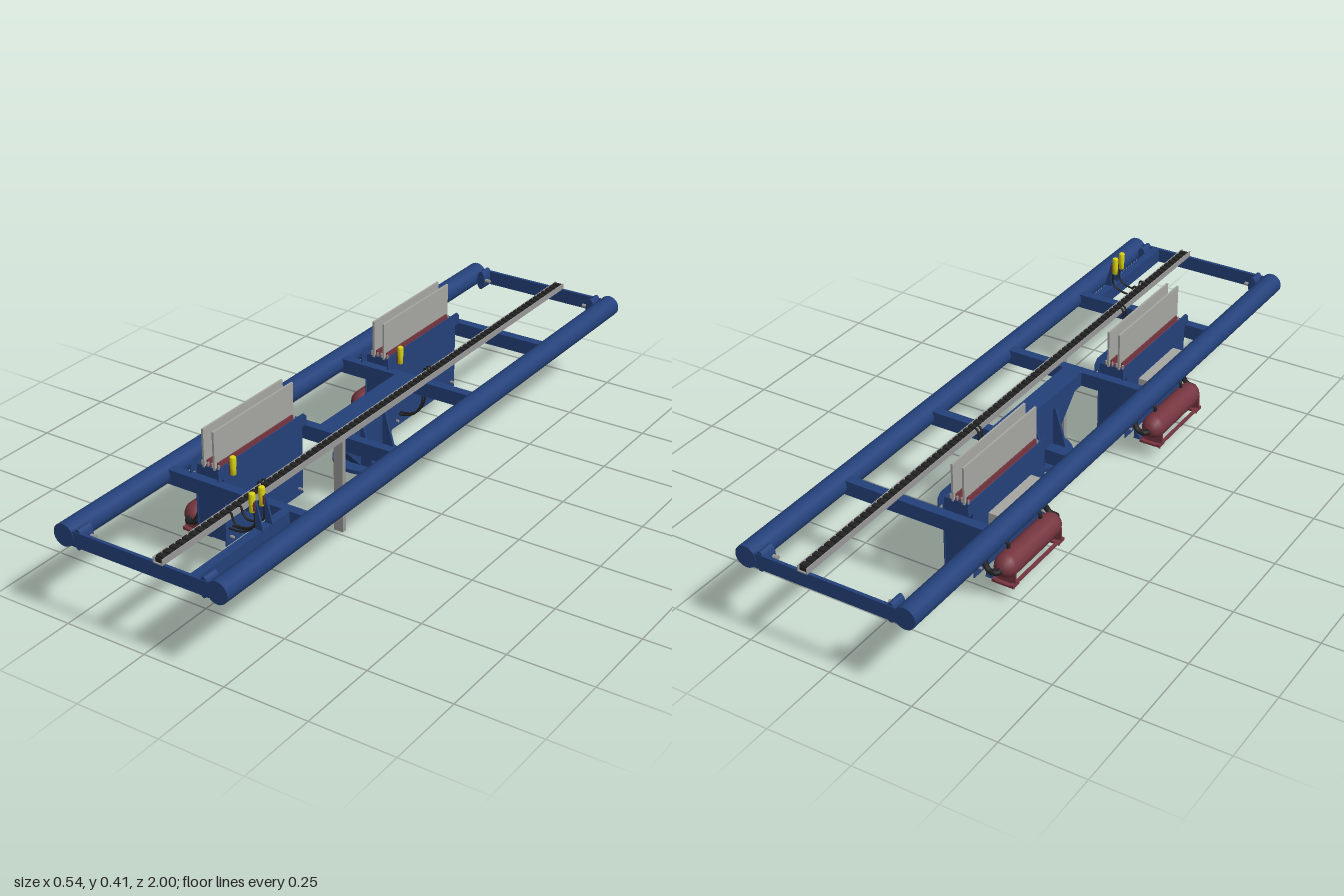
import * as THREE from 'three';

const mat = (name, color, double) => {
  const m = new THREE.MeshStandardMaterial({ color });
  m.name = name;
  if (double) m.side = THREE.DoubleSide;
  return m;
};

export function createModel() {
  const blue = mat('frame blue', 0x24417a);
  const red = mat('tank red', 0x75353f);
  const grey = mat('panel grey', 0xa6a6a2);
  const steel = mat('steel grey', 0x989898);
  const black = mat('rubber black', 0x222222);
  const yellow = mat('lamp yellow', 0xdcd410);
  const model = new THREE.Group();

  const add = (parent, name, geo, m, x = 0, y = 0, z = 0) => {
    const mesh = new THREE.Mesh(geo, m);
    mesh.name = name;
    mesh.position.set(x, y, z);
    parent.add(mesh);
    return mesh;
  };
  // box given by its minimum and maximum corners
  const box = (p, name, m, x0, x1, y0, y1, z0, z1) =>
    add(p, name, new THREE.BoxGeometry(x1 - x0, y1 - y0, z1 - z0), m, (x0 + x1) / 2, (y0 + y1) / 2, (z0 + z1) / 2);
  // cylinder along a chosen axis
  const rod = (p, name, m, r, len, axis, x, y, z, seg = 16) => {
    const g = new THREE.CylinderGeometry(r, r, len, seg);
    if (axis === 'z') g.rotateX(Math.PI / 2);
    if (axis === 'x') g.rotateZ(Math.PI / 2);
    return add(p, name, g, m, x, y, z);
  };
  const hose = (p, name, r, pts) => add(p, name, new THREE.TubeGeometry(
    new THREE.CatmullRomCurve3(pts.map(a => new THREE.Vector3(...a)), false, 'centripetal'), 28, r, 8), black);
  const extrude = (pts, depth) => {
    const g = new THREE.ExtrudeGeometry(new THREE.Shape(pts.map(a => new THREE.Vector2(...a))),
      { depth, bevelEnabled: false });
    return g.translate(0, 0, -depth / 2);
  };
  // plate outlined in (z, y), thickness along x
  const sidePlate = (p, name, m, pts, t, x) =>
    add(p, name, extrude(pts.map(([z, y]) => [-z, y]), t).rotateY(Math.PI / 2), m, x);

  // main frame
  const frame = new THREE.Group();
  frame.name = 'frame';
  model.add(frame);
  for (const s of [-1, 1]) {
    rod(frame, 'mainTube', blue, 0.032, 2, 'z', s * 0.24, 0.265, 0, 24);
    box(frame, 'endBar', blue, -0.22, 0.22, 0.241, 0.284, s > 0 ? 0.988 : -0.998, s > 0 ? 0.998 : -0.988);
    for (const z of [0.2, 0.605])
      box(frame, 'crossBeam', blue, -0.22, 0.22, 0.241, 0.284, s * z - 0.014, s * z + 0.014);
    // corner lugs with pins
    for (const e of [-1, 1]) {
      const lug = rod(frame, 'cornerLug', blue, 0.03, 0.045, 'z', s * 0.197, 0.263, e * 0.973);
      lug.scale.x = 0.45;
      rod(frame, 'lugPin', steel, 0.006, 0.03, 'x', s * 0.183, 0.263, e * 0.96, 8);
    }
  }
  box(frame, 'centreBeam', blue, -0.03, 0.03, 0.241, 0.284, -0.2, 0.2);
  box(frame, 'lampBeam', blue, 0.153, 0.178, 0.241, 0.284, 0.6, 0.99);

  // central pedestal
  const pedestal = new THREE.Group();
  pedestal.name = 'pedestal';
  model.add(pedestal);
  rod(pedestal, 'baseDisc', blue, 0.1, 0.011, 'y', 0, 0.108, 0, 28);
  sidePlate(pedestal, 'taperedColumn', blue,
    [[-0.06, 0.112], [0.06, 0.112], [0.19, 0.243], [-0.19, 0.243]], 0.034, 0);
  for (const z of [-0.055, 0.055])
    add(pedestal, 'gusset', extrude([[-0.06, 0.112], [0.06, 0.112], [0.022, 0.243], [-0.022, 0.243]], 0.008), blue, 0, 0, z);

  // cable tray with chain and support leg
  const tray = new THREE.Group();
  tray.name = 'cableTray';
  model.add(tray);
  box(tray, 'trayFloor', steel, 0.047, 0.077, 0.283, 0.286, -1, 1);
  for (const x of [0.047, 0.0745]) box(tray, 'trayWall', steel, x, x + 0.0025, 0.286, 0.301, -1, 1);
  box(tray, 'chainCore', black, 0.051, 0.073, 0.286, 0.297, -0.995, 0.995);
  for (let i = 0; i < 80; i++) {
    const z = -0.985 + i * 0.0249;
    box(tray, 'chainLink', black, 0.05, 0.074, 0.289, 0.301, z - 0.008, z + 0.008);
  }
  box(tray, 'supportLeg', steel, 0.048, 0.077, 0, 0.284, 0.222, 0.237);

  // lamp: yellow head in two tiers with a rounded edge
  const lampProfile = [[0, 0], [0.008, 0], [0.008, 0.022], [0.009, 0.024], [0.009, 0.05], [0.007, 0.053], [0, 0.053]]
    .map(a => new THREE.Vector2(...a));
  const lamp = (p, x, y, z) => add(p, 'lamp', new THREE.LatheGeometry(lampProfile, 16), yellow, x, y, z);

  // front lamp pair
  const lamps = new THREE.Group();
  lamps.name = 'frontLamps';
  model.add(lamps);
  for (const z of [0.693, 0.733]) {
    lamp(lamps, 0.148, 0.329, z);
    add(lamps, 'lampBracket', extrude([[0.158, 0.283], [0.181, 0.283], [0.16, 0.364], [0.158, 0.364]], 0.006), blue, 0, 0, z);
    box(lamps, 'lampClamp', red, 0.154, 0.16, 0.335, 0.36, z - 0.006, z + 0.006);
    hose(lamps, 'lampCable', 0.003, [[0.154, 0.335, z], [0.154, 0.295, z], [0.14, 0.28, z],
      [0.1, 0.272, z], [0.087, 0.285, z], [0.08, 0.304, z], [0.068, 0.3, z]]);
  }

  // one hopper unit with tank, centred on z = 0
  const buildUnit = (zc) => {
    const u = new THREE.Group();
    u.name = 'hopperUnit';
    u.position.z = zc;
    model.add(u);
    box(u, 'hopperBody', blue, -0.151, -0.063, 0.093, 0.303, -0.172, 0.172);
    const outline = [[-0.175, 0.08], [0.175, 0.08], [0.175, 0.284], [0.197, 0.284], [0.197, 0.31],
      [0.183, 0.323], [-0.183, 0.323], [-0.197, 0.31], [-0.197, 0.284], [-0.175, 0.284]];
    for (const x of [-0.153, -0.062]) sidePlate(u, 'sidePlate', blue, outline, 0.003, x);

    // upright panels held by clamp strips
    for (const x of [-0.126, -0.092]) {
      box(u, 'panel', grey, x - 0.003, x + 0.003, 0.3, 0.413, -0.175, 0.175);
      for (const s of [-1, 1]) {
        box(u, 'clampStrip', red, x + s * 0.0055 - 0.0025, x + s * 0.0055 + 0.0025, 0.303, 0.319, -0.165, 0.165);
        for (const z of [-0.182, 0.182]) rod(u, 'clampBolt', steel, 0.003, 0.014, 'y', x + s * 0.01, 0.308, z * 0.92, 8);
      }
    }
    box(u, 'topCover', red, -0.143, -0.075, 0.302, 0.306, -0.168, 0.168);

    // bolts through the walls and under the floor
    for (const z of [-0.155, 0.155]) {
      for (const y of [0.103, 0.183]) {
        rod(u, 'wallBolt', steel, 0.004, 0.011, 'x', -0.055, y, z, 8);
        rod(u, 'wallBolt', steel, 0.004, 0.011, 'x', -0.159, y, z, 8);
      }
    }
    for (const z of [-0.1, 0.1]) rod(u, 'floorPlug', red, 0.017, 0.008, 'y', -0.107, 0.09, z);

    // air tank with domed ends
    const tankProfile = [[0, -0.142], [0.014, -0.139], [0.026, -0.13], [0.033, -0.117], [0.035, -0.105],
      [0.035, 0.105], [0.033, 0.117], [0.026, 0.13], [0.014, 0.139], [0, 0.142]].map(a => new THREE.Vector2(...a));
    add(u, 'airTank', new THREE.LatheGeometry(tankProfile, 20).rotateX(Math.PI / 2), red, -0.211, 0.103, 0);
    for (const z of [-0.115, 0.115]) {
      add(u, 'tankSaddle', extrude([[-0.245, 0.051], [-0.178, 0.051], [-0.178, 0.1], [-0.245, 0.1]], 0.005), red, 0, 0, z);
      box(u, 'tankFoot', red, -0.245, -0.178, 0.051, 0.057, z - 0.015, z + 0.015);
      add(u, 'tankGusset', extrude([[-0.18, 0.051], [-0.153, 0.051], [-0.153, 0.076]], 0.006), blue, 0, 0, z);
      for (const x of [-0.237, -0.186]) rod(u, 'footBolt', steel, 0.003, 0.016, 'y', x, 0.047, z, 8);
    }
    for (const x of [-0.24, -0.184]) box(u, 'footRail', red, x - 0.005, x + 0.005, 0.055, 0.06, -0.13, 0.13);
    box(u, 'bracketShelf', blue, -0.18, -0.153, 0.051, 0.055, -0.12, 0.12);

    // valve box and hoses
    box(u, 'valveBox', grey, -0.184, -0.155, 0.19, 0.246, -0.105, 0.105);
    for (const s of [-1, 1]) {
      hose(u, 'tankHose', 0.008, [[-0.211, 0.103, s * 0.138], [-0.208, 0.103, s * 0.153], [-0.185, 0.106, s * 0.154],
        [-0.172, 0.125, s * 0.15], [-0.17, 0.16, s * 0.135], [-0.171, 0.195, s * 0.09]]);
      hose(u, 'returnHose', 0.005, [[-0.2, 0.134, s * 0.08], [-0.198, 0.15, s * 0.08], [-0.187, 0.16, s * 0.08], [-0.153, 0.16, s * 0.08]]);
    }

    // status lamp and its cable to the tray
    lamp(u, -0.052, 0.288, 0.145);
    box(u, 'lampHolder', red, -0.062, -0.057, 0.287, 0.325, 0.138, 0.152);
    for (const z of [0.145, 0.16])
      hose(u, 'sensorCable', 0.003, [[-0.062, 0.13, z], [-0.03, 0.131, z], [0.005, 0.145, z], [0.03, 0.18, z],
        [0.037, 0.23, z], [0.037, 0.29, z], [0.045, 0.305, z], [0.056, 0.3, z]]);
  };
  [0.405, -0.395].forEach(buildUnit);

  return model;
}
